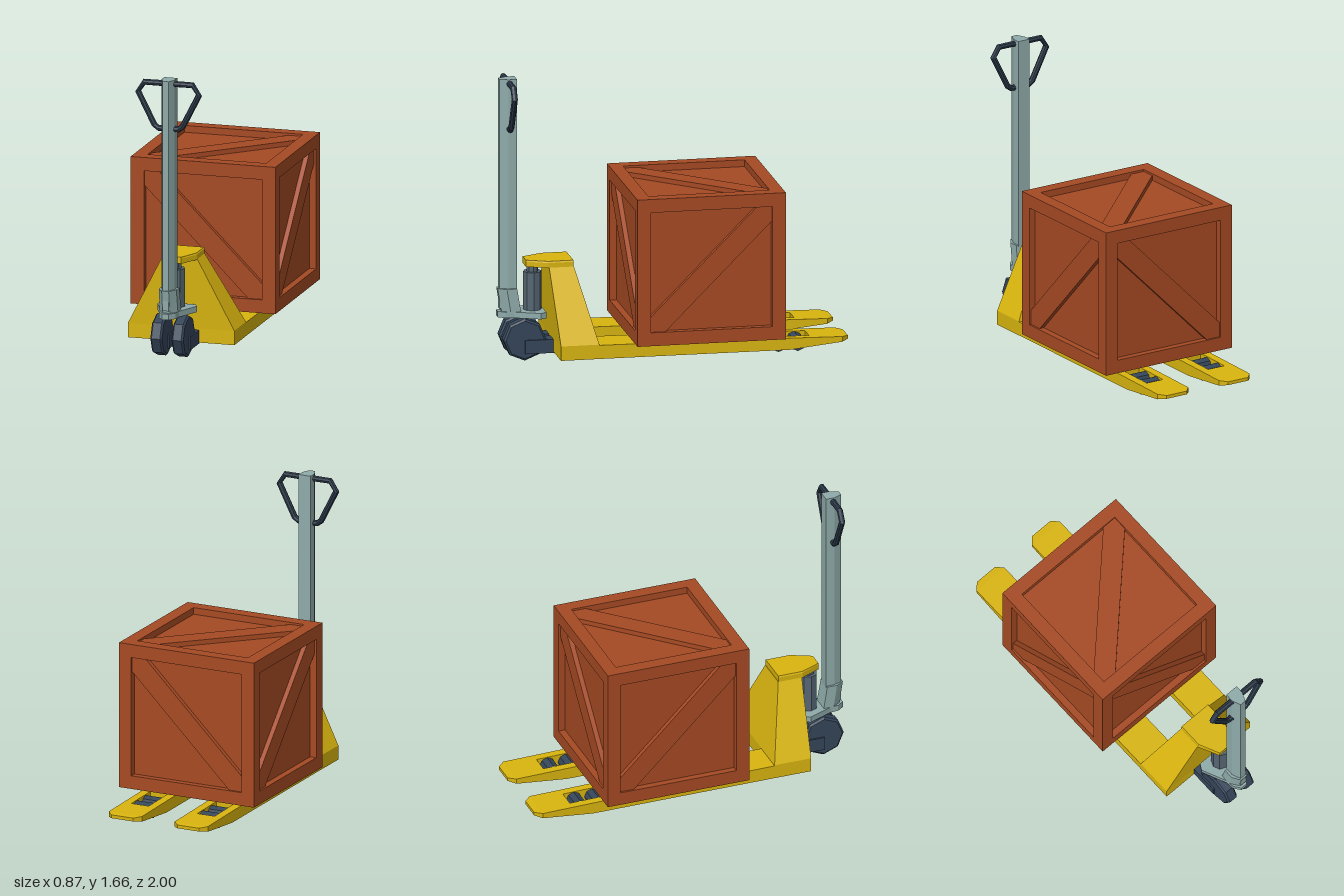
import * as THREE from 'three';

const paint = (name, color) => {
  const m = new THREE.MeshStandardMaterial({ color });
  m.name = name;
  return m;
};

// Give every face its own normal for the low-poly look
const faceted = (geo) => {
  const g = geo.index ? geo.toNonIndexed() : geo;
  g.computeVertexNormals();
  return g;
};

// Skin equal-sized rings of [x, y, z], counter-clockwise seen from the last ring
function loft(rings) {
  const n = rings[0].length, last = rings.length - 1, pos = [];
  const tri = (a, b, c) => pos.push(...a, ...b, ...c);
  for (let r = 0; r < last; r++) {
    for (let i = 0; i < n; i++) {
      const j = (i + 1) % n, a = rings[r], b = rings[r + 1];
      tri(a[i], a[j], b[j]);
      tri(a[i], b[j], b[i]);
    }
  }
  for (let i = 1; i < n - 1; i++) {
    tri(rings[0][0], rings[0][i + 1], rings[0][i]);
    tri(rings[last][0], rings[last][i], rings[last][i + 1]);
  }
  const g = new THREE.BufferGeometry();
  g.setAttribute('position', new THREE.Float32BufferAttribute(pos, 3));
  return g;
}

// Horizontal ring, mirrored in x, from half outline points [x, z] listed front to back
const ring = (half, y, scale = 1, dz = 0) => [
  ...half.map(([x, z]) => [x * scale, y, z + dz]),
  ...half.slice().reverse().map(([x, z]) => [-x * scale, y, z + dz]),
];

// Linear interpolation through [z, y] pairs with rising z
const along = (table, z) => {
  let i = 1;
  while (i < table.length - 1 && z > table[i][0]) i++;
  const [z0, y0] = table[i - 1], [z1, y1] = table[i];
  return y0 + ((y1 - y0) * (z - z0)) / (z1 - z0);
};

export function createModel() {
  const model = new THREE.Group();
  const yellow = paint('yellow paint', 0xd9b50f);
  const wood = paint('reddish wood', 0xa64a23);
  const steel = paint('pale steel', 0x8fabaa);
  const pumpGrey = paint('pump grey', 0x566673);
  const rubber = paint('dark blue rubber', 0x35465a);
  const grip = paint('handle dark', 0x2c3a4a);

  const add = (name, geo, mat, parent = model) => {
    const mesh = new THREE.Mesh(faceted(geo), mat);
    mesh.name = name;
    parent.add(mesh);
    return mesh;
  };

  // Forks: tapering slabs with a slot for the rollers
  const top = [[-1, 0.105], [-0.96, 0.109], [-0.15, 0.125], [0.5, 0.131]];
  const bottom = [[-1, 0.085], [-0.96, 0.078], [-0.65, 0.046], [-0.15, 0.048], [0.5, 0.05]];
  const slab = (cuts) => loft(cuts.map(([z, x0, x1]) => {
    const b = along(bottom, z), t = along(top, z);
    return [[x0, b, z], [x1, b, z], [x1, t, z], [x0, t, z]];
  }));
  const w = 0.107, s = 0.056;
  for (const side of [1, -1]) {
    const fork = new THREE.Group();
    fork.name = side > 0 ? 'leftFork' : 'rightFork';
    fork.position.x = side * 0.2125;
    model.add(fork);
    add('forkBeam', slab([[-0.53, -w, w], [-0.15, -w, w], [0.5, -w, w]]), yellow, fork);
    add('forkTip', slab([[-1, -0.07, 0.07], [-0.96, -w, w], [-0.775, -w, w]]), yellow, fork);
    for (const [a, b] of [[-w, -s], [s, w]]) {
      add('slotRail', slab([[-0.775, a, b], [-0.65, a, b], [-0.53, a, b]]), yellow, fork);
    }
    for (const z of [-0.71, -0.598]) {
      const roller = add('loadRoller', new THREE.CylinderGeometry(0.045, 0.045, 0.11, 8), rubber, fork);
      roller.rotation.z = Math.PI / 2;
      roller.position.set(0, 0.068, z);
    }
  }

  // Sloping body joining the forks, with its cap plate
  const base = [[0.32, 0.69], [0.32, 0.465]];
  add('body', loft([
    ring(base, 0.05), ring(base, 0.135), ring([[0.105, 0.715], [0.105, 0.57]], 0.55),
  ]), yellow);
  const cap = [[0.047, 0.84], [0.105, 0.72], [0.105, 0.572]];
  add('capPlate', loft([ring(cap, 0.548), ring(cap, 0.578), ring(cap, 0.587, 0.96)]), yellow);

  // Lifting pump
  for (const [name, r, y0, y1] of [['pumpCylinder', 0.054, 0.28, 0.51], ['pumpRod', 0.034, 0.5, 0.55]]) {
    add(name, new THREE.CylinderGeometry(r, r, y1 - y0, 8), pumpGrey)
      .position.set(0, (y0 + y1) / 2, 0.793);
  }

  // Steering wheels with bevelled rims, and the arms holding them
  const rim = [[0, -0.035], [0.112, -0.035], [0.124, -0.025], [0.124, 0.025], [0.112, 0.035], [0, 0.035]]
    .map(([r, y]) => new THREE.Vector2(r, y));
  for (const side of [1, -1]) {
    const wheel = add('steeringWheel', new THREE.LatheGeometry(rim, 8), rubber);
    wheel.rotation.z = Math.PI / 2;
    wheel.position.set(side * 0.064, 0.127, 0.855);
    add('wheelArm', new THREE.BoxGeometry(0.09, 0.08, 0.17), rubber)
      .position.set(side * 0.064, 0.085, 0.77);
  }

  // Steering plate, slanted collar and tiller
  const plate = [[0.02, 1], [0.05, 0.96], [0.055, 0.91], [0.12, 0.765], [0.1, 0.73]];
  add('steeringPlate', loft([ring(plate, 0.25), ring(plate, 0.285)]), steel);
  const collar = [[0.022, 0.978], [0.055, 0.93], [0.055, 0.87]];
  add('collar', loft([ring(collar, 0.285), ring(collar, 0.42, 0.95, 0.022)]), steel);
  const shaft = [[0.018, 0.99], [0.039, 0.94], [0.039, 0.89]];
  add('tiller', loft([ring(shaft, 0.3), ring(shaft, 1.66)]), steel);

  // Handle loop: straight bars with mitred corners
  const half = [[0.145, 1.635], [0.183, 1.578], [0.085, 1.386], [0.06, 1.368]];
  const path = [[0, 1.635], ...half, [0, 1.368],
    ...half.slice().reverse().map(([x, y]) => [-x, y]), [0, 1.635]]
    .map(([x, y]) => new THREE.Vector3(x, y, 0.933));
  const loop = new THREE.Curve();
  loop.getUtoTmapping = (u) => u;
  loop.getPoint = (t, target = new THREE.Vector3()) => {
    const f = t * (path.length - 1), i = Math.min(Math.floor(f), path.length - 2);
    return target.lerpVectors(path[i], path[i + 1], f - i);
  };
  add('handleLoop', new THREE.TubeGeometry(loop, path.length - 1, 0.018, 8, true), grip);

  // Crate: recessed core, edge beams and a diagonal brace on every face
  const crate = new THREE.Group();
  crate.name = 'crate';
  crate.position.set(0, 0.575, -0.17);
  model.add(crate);
  const size = 0.87, beam = 0.079, recess = 0.04, off = (size - beam) / 2, inner = size - 2 * beam;
  const core = size - 2 * recess;
  add('cratePanels', new THREE.BoxGeometry(core, core, core), wood, crate);
  for (const a of [-off, off]) {
    for (const b of [-off, off]) {
      add('crateUpright', new THREE.BoxGeometry(beam, size, beam), wood, crate).position.set(a, 0, b);
      add('crateCrossBeam', new THREE.BoxGeometry(inner, beam, beam), wood, crate).position.set(0, a, b);
      add('crateSideBeam', new THREE.BoxGeometry(beam, beam, inner), wood, crate).position.set(a, b, 0);
    }
  }
  const h = inner / 2, c = 0.088;
  const braceShape = new THREE.Shape([
    [-h, -h], [c - h, -h], [h, h - c], [h, h], [h - c, h], [-h, c - h],
  ].map(([x, y]) => new THREE.Vector2(x, y)));
  const q = Math.PI / 2;
  // Turn about x, turn about y, and quarter turn within the face
  for (const [rx, ry, rz] of [[0, 0, q], [0, 2 * q, q], [0, q, 0], [0, -q, 0], [-q, 0, 0], [q, 0, 0]]) {
    const geo = new THREE.ExtrudeGeometry(braceShape, { depth: 0.03, bevelEnabled: false });
    geo.translate(0, 0, core / 2 - 0.002).rotateZ(rz).rotateX(rx).rotateY(ry);
    add('crateBrace', geo, wood, crate);
  }
  return model;
}
